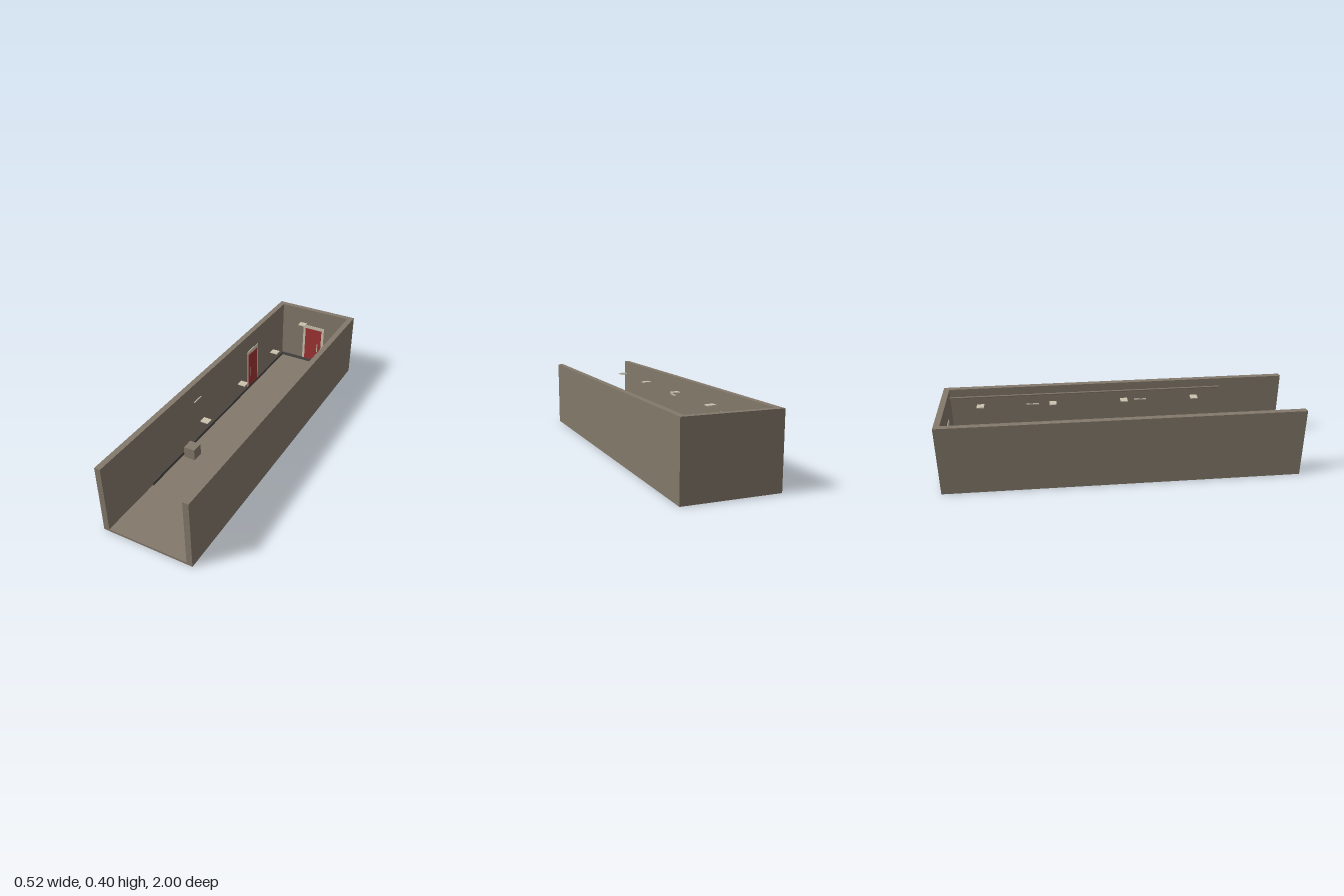
import * as THREE from 'three';

const material = (name, color) => {
  const m = new THREE.MeshStandardMaterial({ color });
  m.name = name;
  return m;
};

export function createModel() {
  const group = new THREE.Group();
  group.name = 'corridor';
  const plaster = material('taupe plaster', 0x83786a);
  const dark = material('dark skirting', 0x4c4946);
  const red = material('red door', 0x9e3434);
  const cream = material('cream trim', 0xcbc3ae);

  // Box given by its min and max corner
  const box = (name, mat, [x0, y0, z0], [x1, y1, z1], parent = group) => {
    const mesh = new THREE.Mesh(new THREE.BoxGeometry(x1 - x0, y1 - y0, z1 - z0), mat);
    mesh.position.set((x0 + x1) / 2, (y0 + y1) / 2, (z0 + z1) / 2);
    mesh.name = name;
    parent.add(mesh);
    return mesh;
  };

  const W = 0.261, IN = 0.228, H = 0.398, FLOOR = 0.012, BACK = -0.967, RUN = 0.623;

  // Shell, open at the top and front
  box('floor', plaster, [-IN, 0, BACK], [IN, FLOOR, 1]);
  box('backWall', plaster, [-IN, 0, -1], [IN, H, BACK]);
  box('leftWall', plaster, [IN, 0, -1], [W, H, 1]);
  box('rightWall', plaster, [-W, 0, -1], [-IN, H, 1]);

  // Skirting along three walls
  box('backSkirting', dark, [-IN, FLOOR, BACK], [IN, 0.032, BACK + 0.006]);
  box('leftSkirting', dark, [IN - 0.006, FLOOR, BACK], [IN, 0.032, RUN]);
  box('rightSkirting', dark, [-IN, FLOOR, BACK], [-IN + 0.006, 0.032, RUN]);

  // Door facing +z with its frame slab and pull handle
  const addDoor = (name, handleX) => {
    const door = new THREE.Group();
    door.name = name;
    box('doorFrame', cream, [-0.074, FLOOR, 0], [0.074, 0.284, 0.0025], door);
    box('doorPanel', red, [-0.057, FLOOR, 0.0025], [0.057, 0.262, 0.0055], door);
    box('doorHandle', cream, [handleX - 0.003, 0.102, 0.0055], [handleX + 0.003, 0.16, 0.008], door);
    group.add(door);
    return door;
  };
  addDoor('backDoor', 0.033).position.set(0, 0, BACK);
  const sideDoor = addDoor('sideDoor', -0.033);
  sideDoor.rotation.y = Math.PI / 2;
  sideDoor.position.set(-IN, 0, -0.515);

  // Ceiling light panels
  for (const z of [-0.773, -0.374, 0.024, 0.422])
    box('ceilingLight', cream, [-0.022, 0.39, z - 0.02], [0.022, 0.395, z + 0.02]);

  // Wall light strips in facing pairs
  for (const z of [-0.494, 0.146])
    for (const s of [-1, 1]) {
      const strip = box('wallLight', cream, [-0.0025, 0.283, z - 0.036], [0.0025, 0.289, z + 0.036]);
      strip.position.x = s * (IN - 0.0025);
    }

  // Pipe running high on the left wall
  const pipe = new THREE.Mesh(new THREE.CylinderGeometry(0.005, 0.005, RUN - BACK, 10), plaster);
  pipe.rotation.x = Math.PI / 2;
  pipe.position.set(0.209, 0.354, (RUN + BACK) / 2);
  pipe.name = 'pipe';
  group.add(pipe);

  // Crate on the floor
  box('crate', plaster, [-0.21, FLOOR, 0.268], [-0.142, 0.08, 0.336]);

  return group;
}
